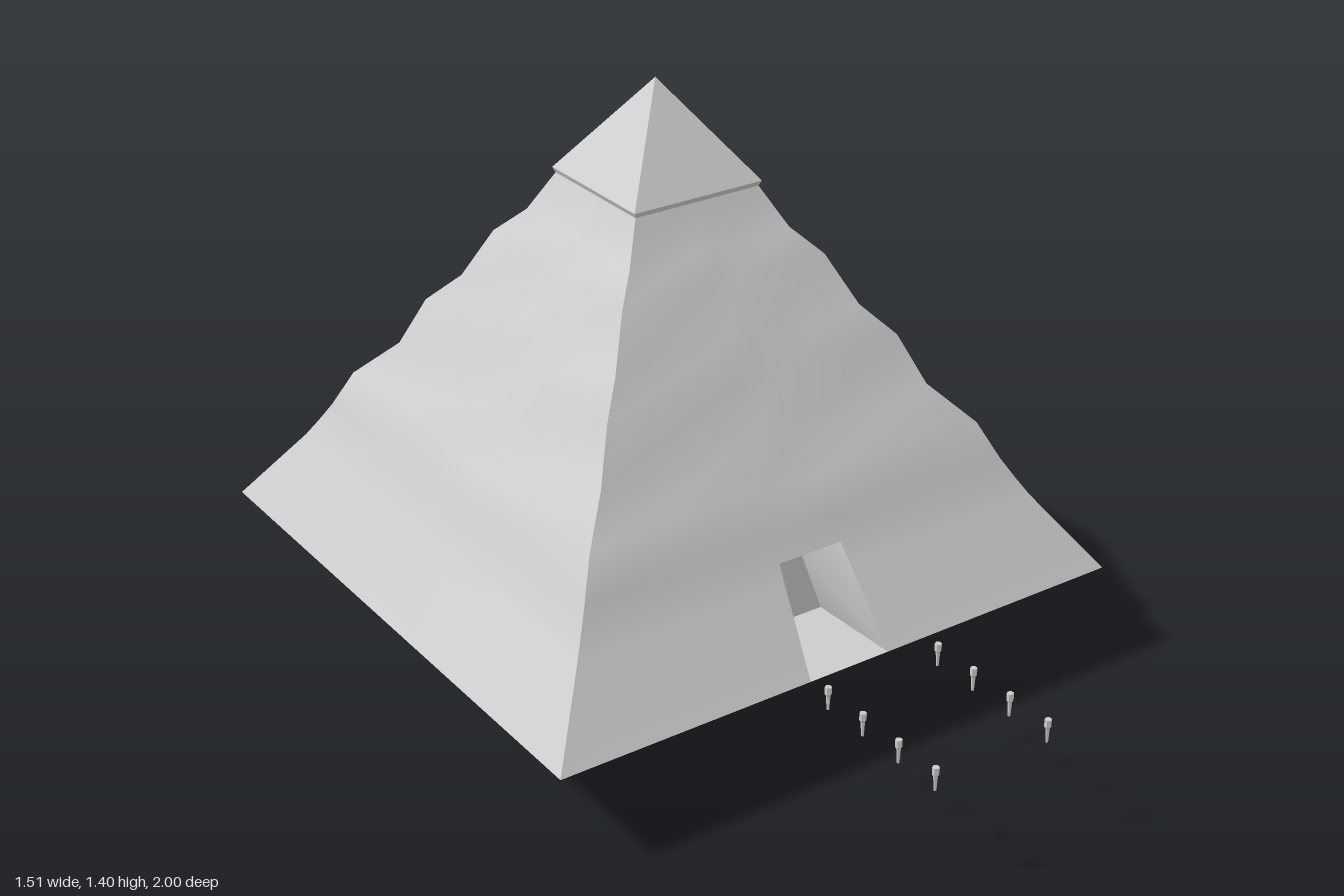
import * as THREE from 'three';

const CZ = -0.245, BASE = 0.24;
// Weathered slope: [height, half width]
const PROFILE = [[0.24, 0.755], [0.42, 0.627], [0.46, 0.603], [0.51, 0.575], [0.6, 0.533], [0.69, 0.448],
  [0.81, 0.397], [0.88, 0.333], [1.0, 0.275], [1.06, 0.217], [1.16, 0.164]];
const DOOR_TOP = 0.46;
const doorHalf = y => 0.108 - 0.023 * (y - BASE) / (DOOR_TOP - BASE);

const grey = (extra = {}) => new THREE.MeshStandardMaterial({ color: 0xcccccc, ...extra });

function buffer(points, index) {
  const g = new THREE.BufferGeometry();
  g.setAttribute('position', new THREE.Float32BufferAttribute(points.flat(), 3));
  g.setIndex(index);
  g.computeVertexNormals();
  return g;
}

// One sloping side facing +z; rows of four points leave room for the doorway
function sideGeometry(withDoor) {
  const points = [], index = [];
  PROFILE.forEach(([y, h], row) => {
    const d = Math.min(doorHalf(y), h);
    const inner = y <= DOOR_TOP ? d : h * 0.14;
    [-h, -inner, inner, h].forEach(x => points.push([x, y, h]));
    if (row === 0) return;
    for (let i = 0; i < 3; i++) {
      if (withDoor && i === 1 && y <= DOOR_TOP) continue;
      const a = (row - 1) * 4 + i, b = a + 4;
      index.push(a, a + 1, b + 1, a, b + 1, b);
    }
  });
  return buffer(points, index);
}

// Recess behind the doorway: floor, back wall, ceiling and two side walls
function recessGeometry() {
  const edge = (s, k) => [s * doorHalf(PROFILE[k][0]), PROFILE[k][0], PROFILE[k][1] + CZ];
  const points = [], index = [];
  const face = (...p) => {
    const n = points.length;
    points.push(...p);
    for (let i = 1; i < p.length - 1; i++) index.push(n, n + i, n + i + 1);
  };
  const low = s => [s * 0.1, BASE, 0.27], high = s => [s * 0.042, 0.4, 0.27];
  face(edge(-1, 0), edge(1, 0), low(1), low(-1));
  face(low(-1), low(1), high(1), high(-1));
  face(high(-1), high(1), edge(1, 2), edge(-1, 2));
  face(edge(-1, 0), low(-1), high(-1), edge(-1, 2), edge(-1, 1));
  face(edge(1, 0), edge(1, 1), edge(1, 2), high(1), low(1));
  return buffer(points, index);
}

// Descending shaft and level corridor, drawn as (z, y) and slightly narrower at the bottom
function passageGeometry() {
  const outline = [[0.48, 0.24], [0.27, 0.24], [-0.01, 0.08], [-0.35, 0.08], [-0.47, 0], [0.03, 0]];
  const shape = new THREE.Shape(outline.map(([z, y]) => new THREE.Vector2(z, y)));
  const g = new THREE.ExtrudeGeometry(shape, { depth: 2, bevelEnabled: false });
  g.translate(0, 0, -1).rotateY(-Math.PI / 2);
  const p = g.attributes.position;
  for (let i = 0; i < p.count; i++) p.setX(i, p.getX(i) * (0.065 + 0.083 * p.getY(i)));
  g.computeVertexNormals();
  return g;
}

// Square frustum standing on the given height
function frustum(top, bottom, height, y) {
  const g = new THREE.CylinderGeometry(top * Math.SQRT2, bottom * Math.SQRT2, height, 4);
  return g.rotateY(Math.PI / 4).translate(0, y + height / 2, CZ);
}

export function createModel() {
  const model = new THREE.Group();
  const add = (name, geometry, material = grey(), parent = model) => {
    const mesh = new THREE.Mesh(geometry, material);
    mesh.name = name;
    parent.add(mesh);
    return mesh;
  };

  // Pyramid body
  const body = new THREE.Group();
  body.name = 'pyramidBody';
  body.position.z = CZ;
  model.add(body);
  ['frontSlope', 'leftSlope', 'backSlope', 'rightSlope'].forEach((name, i) => {
    add(name, sideGeometry(i === 0), grey(), body).rotation.y = i * Math.PI / 2;
  });
  add('underside', new THREE.PlaneGeometry(1.51, 1.51).rotateX(Math.PI / 2).translate(0, BASE, 0), grey(), body);

  // Overhanging capstone
  const flat = grey({ flatShading: true });
  add('capstoneRim', frustum(0.172, 0.166, 0.014, 1.154), flat);
  add('capstone', frustum(0, 0.172, 0.232, 1.168), flat);

  // Entrance and underground passage
  add('entranceRecess', recessGeometry(), grey({ side: THREE.DoubleSide }));
  add('passage', passageGeometry());
  add('sideChamber', new THREE.BoxGeometry(0.275, 0.08, 0.1).translate(0.187, 0.04, -0.06));

  // Two rows of tapered torches lining the approach
  const torch = new THREE.LatheGeometry(
    [[0, 0], [0.003, 0], [0.005, 0.035], [0.008, 0.04], [0.008, 0.058], [0, 0.058]]
      .map(([r, y]) => new THREE.Vector2(r, y)), 6);
  for (const s of [-1, 1]) {
    for (let i = 0; i < 4; i++) {
      add('torch', torch, flat).position.set(s * 0.152, 0.25, 0.63 + i * 0.121);
    }
  }
  return model;
}
